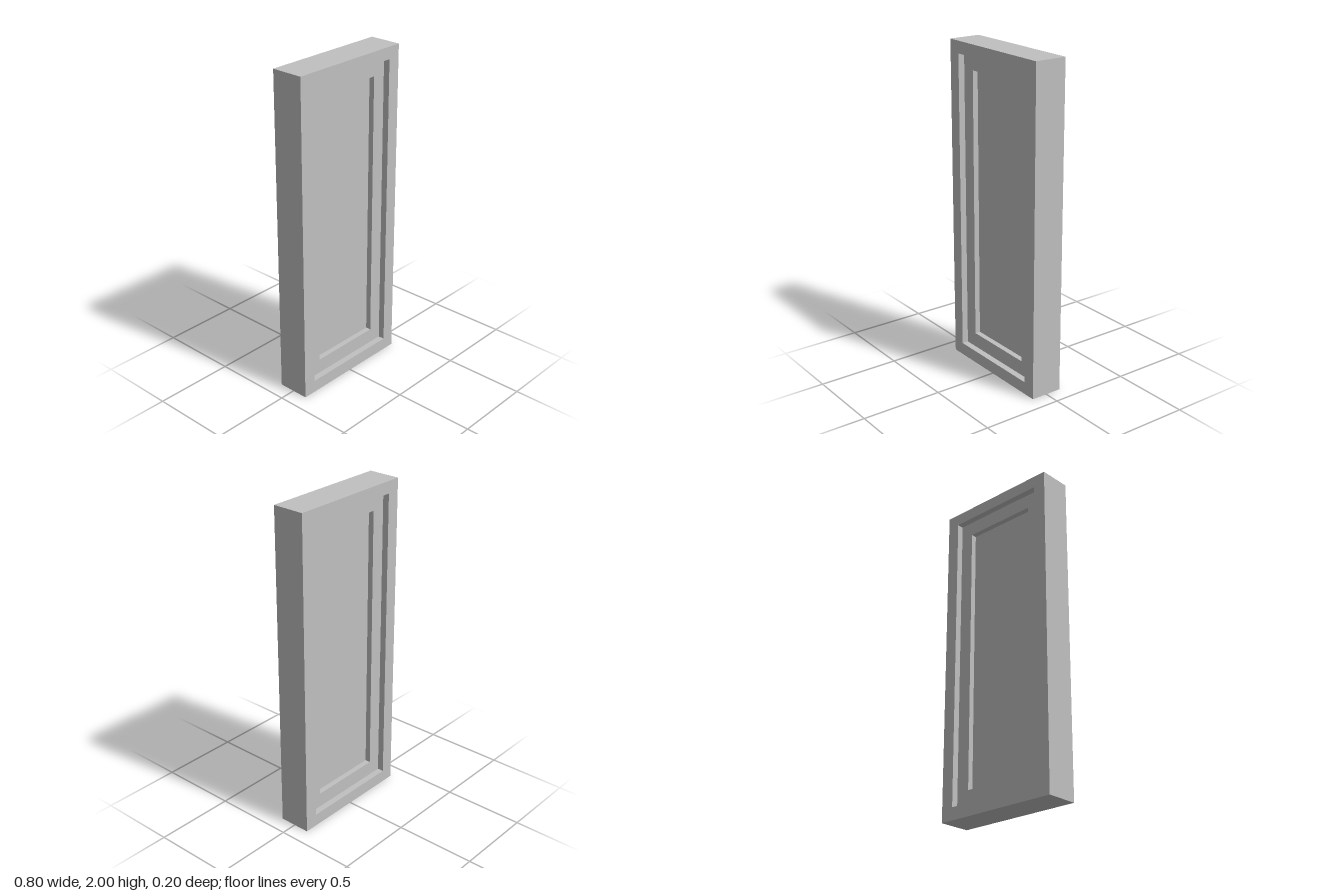
import * as THREE from 'three';

// Rectangle path, symmetric in x, from y0 to y1
function rect(path, halfWidth, y0, y1) {
  path.moveTo(-halfWidth, y0);
  path.lineTo(halfWidth, y0);
  path.lineTo(halfWidth, y1);
  path.lineTo(-halfWidth, y1);
  path.closePath();
  return path;
}

export function createModel() {
  const model = new THREE.Group();
  model.name = 'panelledDoor';
  const grey = new THREE.MeshStandardMaterial({ color: 0xc0c0c0 });
  grey.name = 'doorGrey';

  // Each layer is a centred slab, stepped back equally on front and rear
  const layers = [
    { name: 'outerFrame', size: [0.4, 0, 2], hole: [0.32, 0.077, 1.926], depth: 0.2 },
    { name: 'innerFrame', size: [0.32, 0.077, 1.926], hole: [0.235, 0.168, 1.837], depth: 0.12 },
    { name: 'centrePanel', size: [0.235, 0.168, 1.837], depth: 0.052 },
  ];
  for (const { name, size, hole, depth } of layers) {
    const shape = rect(new THREE.Shape(), ...size);
    if (hole) shape.holes.push(rect(new THREE.Path(), ...hole));
    const geometry = new THREE.ExtrudeGeometry(shape, { depth, bevelEnabled: false });
    geometry.translate(0, 0, -depth / 2);
    const mesh = new THREE.Mesh(geometry, grey);
    mesh.name = name;
    model.add(mesh);
  }
  return model;
}
